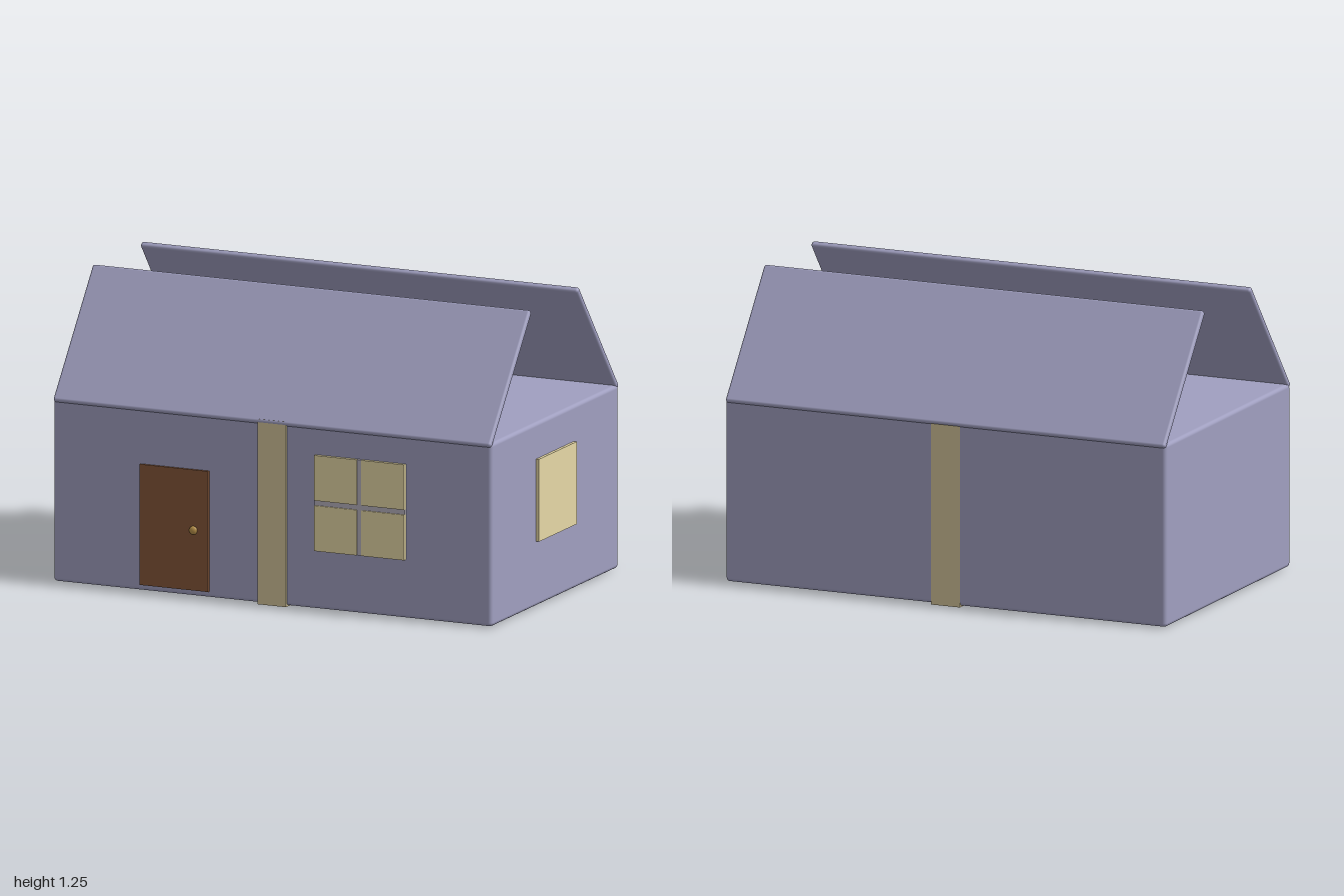
import * as THREE from 'three';
import { RoundedBoxGeometry } from 'three/addons/geometries/RoundedBoxGeometry.js';

const paint = (color) => new THREE.MeshStandardMaterial({ color });

export function createModel() {
  const house = new THREE.Group();
  house.name = 'giftBoxHouse';

  const card = paint(0xa09fc0);
  const cream = paint(0xe6d8a6);
  const ribbonMat = paint(0xd2c399);
  const wood = paint(0x845639);
  const brass = paint(0xb8914a);
  const barMat = paint(0xb6b1bd);

  const add = (name, geometry, material, x, y, z, parent = house) => {
    const mesh = new THREE.Mesh(geometry, material);
    mesh.name = name;
    mesh.position.set(x, y, z);
    parent.add(mesh);
    return mesh;
  };

  // Box given by its minimum and maximum corners
  const block = (name, material, [x0, y0, z0], [x1, y1, z1], parent = house) =>
    add(name, new THREE.BoxGeometry(x1 - x0, y1 - y0, z1 - z0), material,
      (x0 + x1) / 2, (y0 + y1) / 2, (z0 + z1) / 2, parent);

  const midX = -0.005, midZ = -0.005; // centre of the box body

  // Closed body with softly rounded edges
  add('body', new RoundedBoxGeometry(1.98, 0.767, 1.212, 2, 0.016), card, midX, 0.3885, midZ);

  // Ribbon wrapped all the way around the body
  block('ribbon', ribbonMat, [-0.07, 0, -0.614], [0.06, 0.775, 0.607]);

  // Two open roof flaps, leaning in from the long top edges
  const foot = [0.6, 0.768], tip = [0.232, 1.239];
  const run = foot[0] - tip[0], rise = tip[1] - foot[1];
  const slope = Math.hypot(run, rise) + 0.026;
  for (const side of [1, -1]) {
    const flap = add(side > 0 ? 'frontRoofFlap' : 'backRoofFlap',
      new RoundedBoxGeometry(1.975, slope, 0.027, 2, 0.011), card,
      midX, (foot[1] + tip[1]) / 2, midZ + side * (foot[0] + tip[0]) / 2);
    flap.rotation.x = -side * Math.atan2(run, rise);
  }

  // Door with a round knob
  block('door', wood, [-0.6, 0.03, 0.59], [-0.29, 0.535, 0.611]);
  const knob = add('doorKnob', new THREE.SphereGeometry(0.018, 20, 14), brass, -0.357, 0.282, 0.613);
  knob.scale.z = 0.6;

  // Front window: four panes around a recessed cross
  const frontWindow = new THREE.Group();
  frontWindow.name = 'frontWindow';
  house.add(frontWindow);
  for (const [x0, x1] of [[0.19, 0.381], [0.403, 0.597]]) {
    for (const [y0, y1] of [[0.25, 0.44], [0.461, 0.65]]) {
      block('windowPane', cream, [x0, y0, 0.59], [x1, y1, 0.617], frontWindow);
    }
  }
  block('verticalBar', barMat, [0.381, 0.25, 0.59], [0.403, 0.65, 0.612], frontWindow);
  block('horizontalBar', barMat, [0.19, 0.44, 0.59], [0.597, 0.461, 0.6115], frontWindow);

  // Plain window on the left gable end
  block('sideWindow', cream, [0.97, 0.277, -0.183], [0.998, 0.622, 0.178]);

  return house;
}
